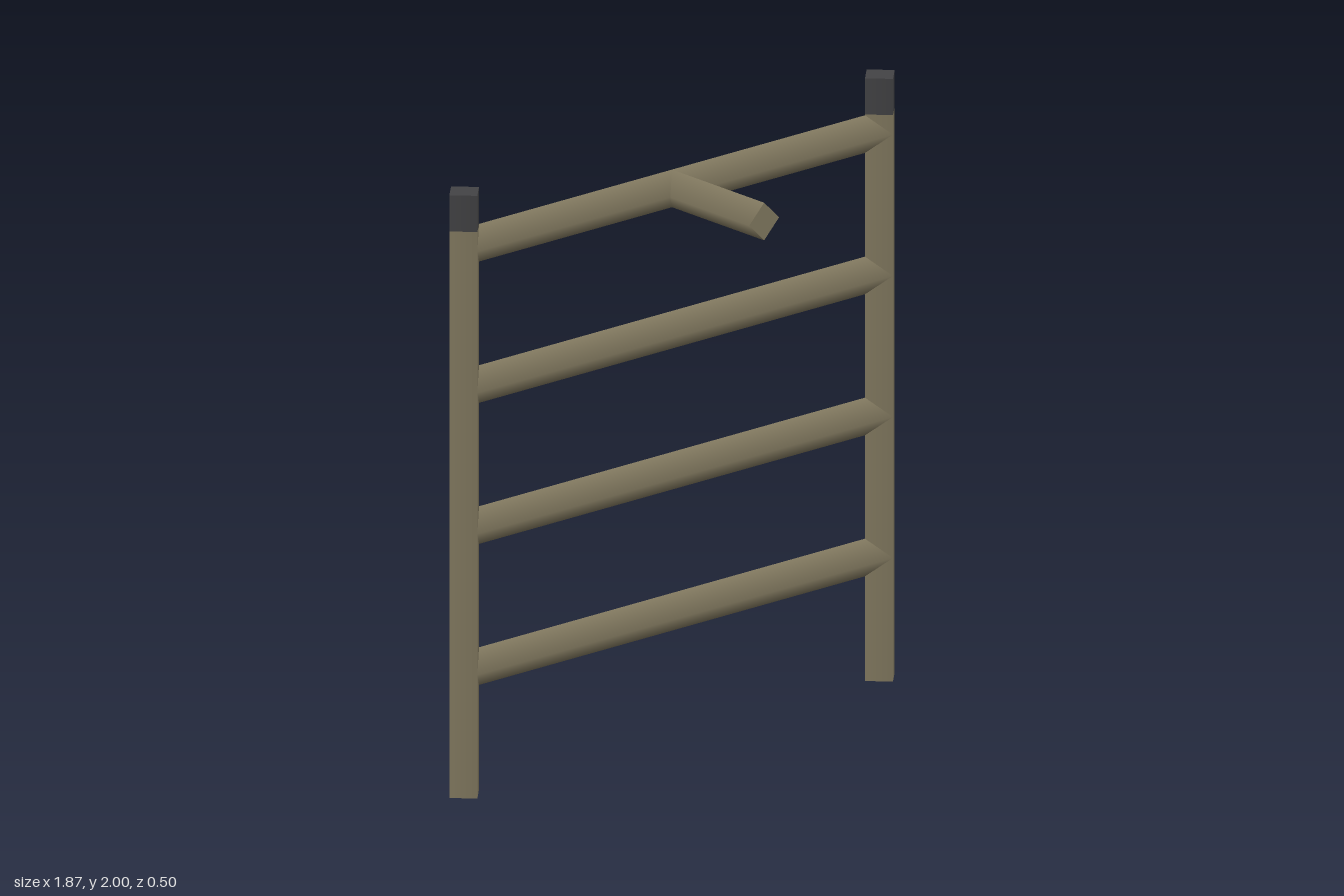
import * as THREE from 'three';

export function createModel() {
  const group = new THREE.Group();
  const wood = new THREE.MeshStandardMaterial({ color: 0x857c62 });
  wood.name = 'weathered wood';
  const dark = new THREE.MeshStandardMaterial({ color: 0x444446 });
  dark.name = 'dark cap';

  const R = 0.0625, POST_X = 0.873, BACK_Z = -0.1875, CAP_Y = 1.88;

  // Four-sided, smooth-shaded bar between two points
  function bar(name, from, to, material, openEnded = false) {
    const a = new THREE.Vector3(...from), b = new THREE.Vector3(...to);
    const dir = b.clone().sub(a);
    const mesh = new THREE.Mesh(new THREE.CylinderGeometry(R, R, dir.length(), 4, 1, openEnded), material);
    mesh.name = name;
    mesh.position.copy(a).add(b).multiplyScalar(0.5);
    mesh.quaternion.setFromUnitVectors(new THREE.Vector3(0, 1, 0), dir.normalize());
    group.add(mesh);
  }

  // Posts with dark tops
  for (const [side, x] of [['left', POST_X], ['right', -POST_X]]) {
    bar(side + 'Post', [x, 0, BACK_Z], [x, CAP_Y, BACK_Z], wood);
    bar(side + 'PostCap', [x, CAP_Y, BACK_Z], [x, 2, BACK_Z], dark);
  }

  // Rungs, ending inside the posts
  [0.41, 0.878, 1.346, 1.815].forEach((y, i) =>
    bar('rung' + (i + 1), [-POST_X, y, BACK_Z], [POST_X, y, BACK_Z], wood));

  // Peg sticking out of the top rung
  bar('peg', [0, 1.815, BACK_Z], [0, 1.815, 0.25], wood);

  return group;
}
